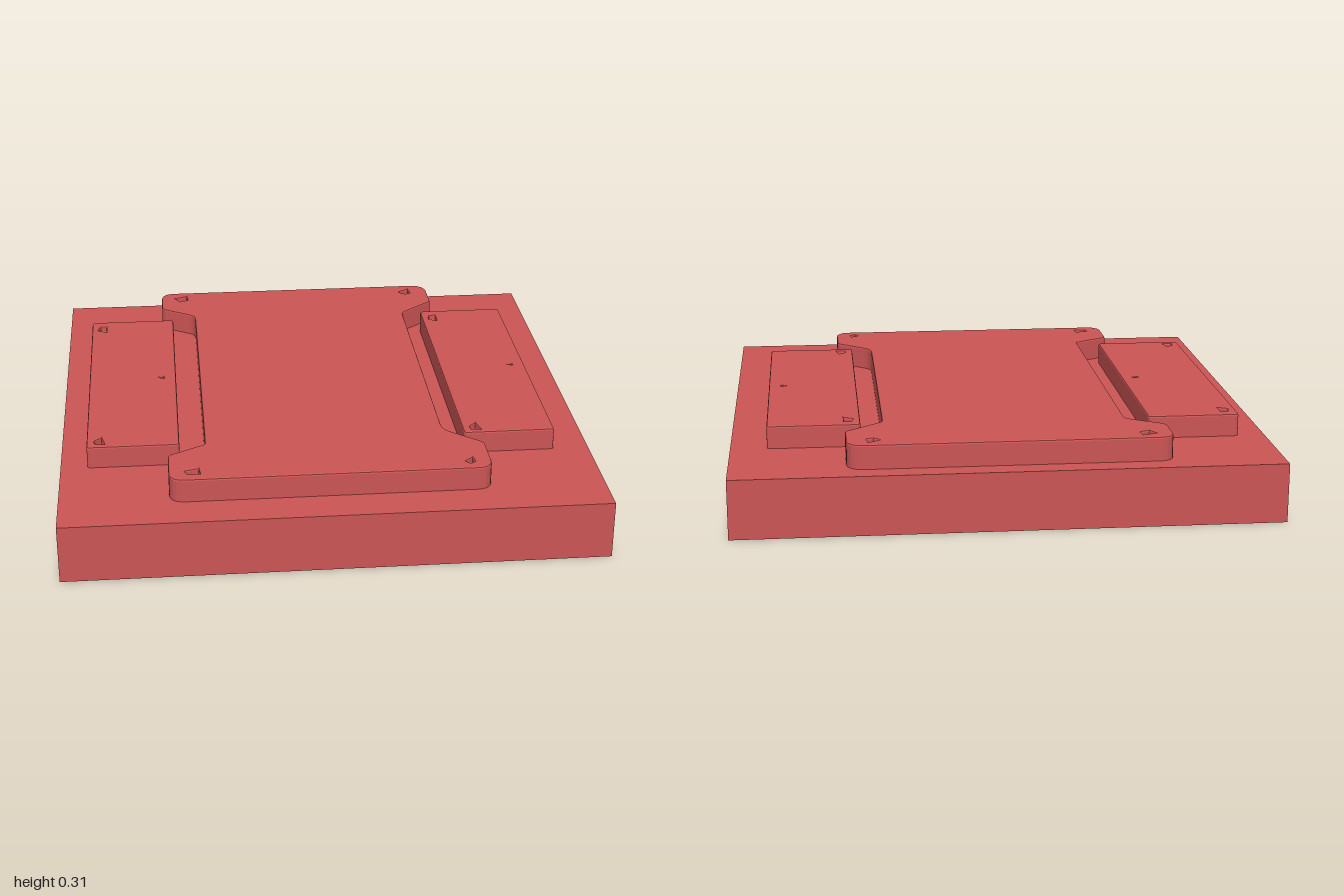
import * as THREE from 'three';

const BASE_TOP = 0.22, BEVEL = 0.007, SUNK = 0.02;

// Closed outline from [x, z, cornerRadius] points, with rounded corners
function outline(points) {
  const shape = new THREE.Shape();
  const v = points.map(([x, z]) => new THREE.Vector2(x, -z));
  const n = v.length;
  v.forEach((p, i) => {
    const r = points[i][2] ?? 0;
    const toward = (q) => q.clone().sub(p).setLength(r).add(p);
    const a = toward(v[(i + n - 1) % n]), b = toward(v[(i + 1) % n]);
    if (i === 0) shape.moveTo(a.x, a.y); else shape.lineTo(a.x, a.y);
    if (r > 0) shape.quadraticCurveTo(p.x, p.y, b.x, b.y);
  });
  shape.closePath();
  return shape;
}

// Raised slab with a fine bevel, its foot sunk into the base
function slab(shape, dents, top) {
  shape.holes = dents.map((d) => new THREE.Path(d.map(([x, z]) => new THREE.Vector2(x, -z))));
  const geo = new THREE.ExtrudeGeometry(shape, {
    depth: top - BASE_TOP + SUNK - 2 * BEVEL, bevelThickness: BEVEL,
    bevelSize: BEVEL, bevelOffset: -BEVEL, bevelSegments: 2, curveSegments: 6,
  });
  geo.rotateX(-Math.PI / 2);
  geo.translate(0, BASE_TOP - SUNK + BEVEL, 0);
  return geo;
}

// Tapered pit lining: slanted walls down to a small floor
function pit(ring, top) {
  const n = ring.length, pos = [], idx = [];
  const cx = ring.reduce((s, p) => s + p[0], 0) / n;
  const cz = ring.reduce((s, p) => s + p[1], 0) / n;
  for (const [scale, y] of [[1.25, top - BEVEL], [0.5, top - 0.045], [0, top - 0.045]]) {
    for (const [x, z] of ring) pos.push(cx + (x - cx) * scale, y, cz + (z - cz) * scale);
  }
  for (let k = 0; k < 2; k++) {
    for (let i = 0; i < n; i++) {
      const j = (i + 1) % n, a = k * n + i, b = k * n + j;
      idx.push(a, a + n, b, b, a + n, b + n);
    }
  }
  const geo = new THREE.BufferGeometry();
  geo.setAttribute('position', new THREE.Float32BufferAttribute(pos, 3));
  geo.setIndex(idx);
  const flat = geo.toNonIndexed();
  flat.computeVertexNormals();
  return flat;
}

export function createModel() {
  const model = new THREE.Group();
  const red = new THREE.MeshStandardMaterial({ color: 0xcc5555 });
  const pitRed = new THREE.MeshStandardMaterial({ color: 0xcc5555, side: THREE.DoubleSide });

  const add = (parent, name, geo, mat = red) => {
    const mesh = new THREE.Mesh(geo, mat);
    mesh.name = name;
    parent.add(mesh);
    return mesh;
  };
  const addSlab = (name, points, dents, top) => {
    const group = new THREE.Group();
    group.name = name;
    add(group, 'slab', slab(outline(points), dents, top));
    dents.forEach((d) => add(group, 'cornerDent', pit(d, top), pitRed));
    model.add(group);
    return group;
  };

  // Square base block
  add(model, 'base', new THREE.BoxGeometry(2, BASE_TOP, 2).translate(0, BASE_TOP / 2, 0));

  // Waisted centre plate with a dent near each corner
  addSlab('centrePlate', [
    [-0.6, 0.85, 0.06], [0.58, 0.85, 0.06], [0.58, 0.645, 0.02], [0.44, 0.525, 0.04],
    [0.44, -0.615, 0.02], [0.58, -0.73, 0.01], [0.58, -0.92, 0.07], [-0.6, -0.92, 0.06],
    [-0.6, -0.745, 0.02], [-0.46, -0.655, 0.03], [-0.46, 0.57, 0.01], [-0.6, 0.65, 0.02],
  ], [
    [[-0.54, -0.86], [-0.49, -0.88], [-0.485, -0.84], [-0.52, -0.825]],
    [[0.455, -0.85], [0.5, -0.88], [0.505, -0.835], [0.48, -0.825]],
    [[-0.54, 0.78], [-0.49, 0.765], [-0.485, 0.805], [-0.53, 0.805]],
    [[0.485, 0.79], [0.515, 0.765], [0.52, 0.795], [0.5, 0.81]],
  ], 0.31);

  // Two identical side pads
  const padPoints = [
    [-0.9, 0.555, 0.015], [-0.555, 0.555, 0.01], [-0.555, -0.63, 0.015], [-0.9, -0.63, 0.02],
  ];
  const padDents = [
    [[-0.875, -0.545], [-0.865, -0.582], [-0.84, -0.582], [-0.84, -0.525]],
    [[-0.87, 0.5], [-0.845, 0.475], [-0.832, 0.53], [-0.87, 0.522]],
    [[-0.62, -0.044], [-0.604, -0.05], [-0.602, -0.036]],
  ];
  const pads = { rightPad: 0, leftPad: 1.42 };
  for (const [name, shift] of Object.entries(pads)) {
    const move = ([x, z, r]) => [x + shift, z, r];
    addSlab(name, padPoints.map(move), padDents.map((d) => d.map(move)), 0.305);
  }
  return model;
}
